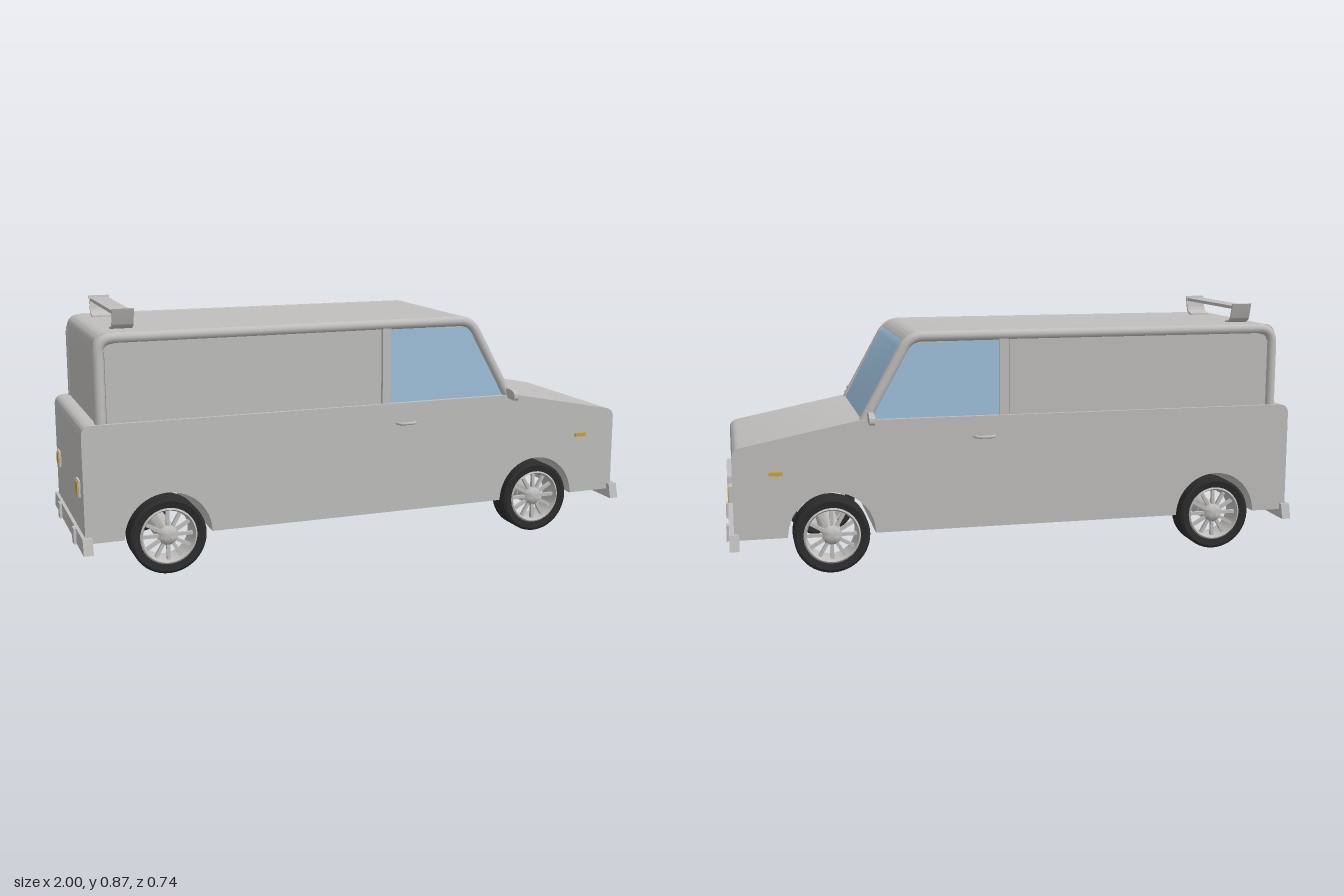
import * as THREE from 'three';
import { toCreasedNormals } from 'three/addons/utils/BufferGeometryUtils.js';

const material = (name, color, side = THREE.FrontSide) => {
  const m = new THREE.MeshStandardMaterial({ color, side });
  m.name = name;
  return m;
};

export function createModel() {
  const paint = material('greyPaint', 0xc0bfbd);
  const glass = material('blueGlass', 0x9fc2de);
  const rubber = material('blackRubber', 0x2c2c2c);
  const amber = material('amberLamp', 0xcba53a);

  const van = new THREE.Group();
  van.name = 'van';

  const add = (name, geometry, mat, x = 0, y = 0, z = 0, parent = van) => {
    const mesh = new THREE.Mesh(geometry, mat);
    mesh.name = name;
    mesh.position.set(x, y, z);
    parent.add(mesh);
    return mesh;
  };
  const box = (name, mat, size, pos, parent) => add(name, new THREE.BoxGeometry(...size), mat, ...pos, parent);
  // Extrudes a side-view shape, centred on z = 0
  const slab = (shape, width) => {
    const g = new THREE.ExtrudeGeometry(shape, { depth: width, bevelEnabled: false, curveSegments: 12 });
    g.translate(0, 0, -width / 2);
    return toCreasedNormals(g, 0.45);
  };
  const polygon = pts => new THREE.Shape(pts.map(p => new THREE.Vector2(...p)));

  const WHEELS = [-0.708, 0.655];
  const AXLE_Y = 0.127;

  // Lower body with wheel arches cut right across
  const lower = new THREE.Shape();
  lower.moveTo(-0.98, 0.13);
  for (const x of WHEELS) {
    lower.lineTo(x - 0.146, 0.13);
    lower.absarc(x, 0.13, 0.146, Math.PI, 0, true);
  }
  lower.lineTo(0.975, 0.13);
  lower.lineTo(0.975, 0.405);
  lower.quadraticCurveTo(0.975, 0.432, 0.945, 0.439);
  lower.lineTo(0.56, 0.515);
  lower.lineTo(-0.945, 0.515);
  lower.quadraticCurveTo(-0.98, 0.515, -0.98, 0.48);
  lower.closePath();
  add('lowerBody', slab(lower, 0.59), paint);

  // Cabin core: roof, rear wall and windscreen slope
  const cabin = new THREE.Shape();
  cabin.moveTo(-0.928, 0.51);
  cabin.lineTo(-0.928, 0.755);
  cabin.quadraticCurveTo(-0.928, 0.803, -0.88, 0.803);
  cabin.lineTo(0.345, 0.803);
  cabin.quadraticCurveTo(0.392, 0.803, 0.417, 0.752);
  cabin.lineTo(0.545, 0.51);
  cabin.closePath();
  add('cabin', slab(cabin, 0.545), paint);

  // Windscreen following the bend at the roof edge
  const screen = polygon([[0.382, 0.781], [0.401, 0.77], [0.419, 0.75], [0.546, 0.512],
    [0.538, 0.512], [0.411, 0.75], [0.393, 0.768], [0.376, 0.776]].reverse());
  const screenMesh = add('windscreen', slab(screen, 0.51), glass);
  screenMesh.position.set(0.003, 0.003, 0);

  // Cabin frame path, used once on each side
  const frame = new THREE.CurvePath();
  const v = (x, y) => new THREE.Vector3(x, y, 0);
  frame.add(new THREE.LineCurve3(v(-0.915, 0.505), v(-0.915, 0.735)));
  frame.add(new THREE.QuadraticBezierCurve3(v(-0.915, 0.735), v(-0.915, 0.787), v(-0.863, 0.787)));
  frame.add(new THREE.LineCurve3(v(-0.863, 0.787), v(0.34, 0.787)));
  frame.add(new THREE.QuadraticBezierCurve3(v(0.34, 0.787), v(0.386, 0.787), v(0.408, 0.745)));
  frame.add(new THREE.LineCurve3(v(0.408, 0.745), v(0.542, 0.505)));
  const frameGeometry = new THREE.TubeGeometry(frame, 160, 0.018, 14, false);

  const panel = slab(polygon([[-0.895, 0.51], [0.045, 0.51], [0.045, 0.772], [-0.86, 0.772], [-0.895, 0.745]]), 0.012);
  const sideGlass = slab(polygon([[0.08, 0.513], [0.526, 0.513], [0.402, 0.735], [0.378, 0.765], [0.08, 0.772]]), 0.008);

  // Mirror head, drawn in the z-y plane and turned to face along x
  const head = new THREE.Shape();
  head.moveTo(0.323, 0.512);
  head.lineTo(0.362, 0.508);
  head.quadraticCurveTo(0.374, 0.51, 0.37, 0.53);
  head.quadraticCurveTo(0.362, 0.548, 0.312, 0.544);
  head.quadraticCurveTo(0.306, 0.53, 0.323, 0.512);
  const headGeometry = slab(head, 0.018).rotateY(-Math.PI / 2);

  const handle = new THREE.TubeGeometry(new THREE.CatmullRomCurve3([
    new THREE.Vector3(-0.036, 0, -0.004), new THREE.Vector3(-0.025, 0, 0.016),
    new THREE.Vector3(0.025, 0, 0.016), new THREE.Vector3(0.036, 0, -0.004)]), 20, 0.005, 8);

  for (const s of [1, -1]) {
    add('cabinFrame', frameGeometry, paint, 0, 0, s * 0.2725);
    add('sidePanel', panel, paint, 0, 0, s * 0.277);
    add('sideWindow', sideGlass, glass, 0, 0, s * 0.274);
    box('doorPillar', paint, [0.03, 0.265, 0.02], [0.065, 0.642, s * 0.276]);
    box('sideIndicator', amber, [0.045, 0.013, 0.009], [0.835, 0.348, s * 0.2975]);
    const grip = add('doorHandle', handle, paint, 0.135, 0.445, s * 0.295);
    if (s < 0) grip.rotation.y = Math.PI;
    const mirror = new THREE.Group();
    mirror.name = 'wingMirror';
    van.add(mirror);
    add('mirrorHead', headGeometry, paint, 0, 0, 0, mirror);
    box('mirrorArm', paint, [0.016, 0.016, 0.055], [0.012, 0.518, 0.307], mirror);
    mirror.position.x = 0.524;
    if (s < 0) {
      mirror.rotation.y = Math.PI;
    }
  }

  // Wheels: tyre and rim turned around the axle, plus spokes and hub
  const turned = pts => toCreasedNormals(new THREE.LatheGeometry(pts.map(p => new THREE.Vector2(...p)), 48)
    .rotateX(Math.PI / 2), 0.6);
  const tyre = turned([[0.094, -0.042], [0.118, -0.047], [0.127, -0.042], [0.127, 0.042], [0.118, 0.047],
    [0.094, 0.042], [0.094, -0.042]]);
  const rim = turned([[0.083, 0.03], [0.083, -0.04], [0.096, -0.042], [0.096, 0.042], [0.09, 0.046], [0.083, 0.03]]);
  const hub = turned([[0.034, -0.02], [0.034, 0.03], [0.026, 0.038], [0.014, 0.043], [0, 0.044]]);
  const spoke = new THREE.BoxGeometry(0.062, 0.011, 0.012).translate(0.058, 0, 0.026);

  for (const x of WHEELS) {
    const axle = add('axle', new THREE.CylinderGeometry(0.035, 0.035, 0.45, 24), paint, x, AXLE_Y, 0);
    axle.rotation.x = Math.PI / 2;
    for (const s of [1, -1]) {
      const wheel = new THREE.Group();
      wheel.name = 'wheel';
      wheel.position.set(x, AXLE_Y, s * 0.248);
      if (s < 0) wheel.rotation.y = Math.PI;
      van.add(wheel);
      add('tyre', tyre, rubber, 0, 0, 0, wheel);
      add('rim', rim, paint, 0, 0, 0, wheel);
      add('hub', hub, paint, 0, 0, 0, wheel);
      for (let i = 0; i < 12; i++) add('spoke', spoke, paint, 0, 0, 0, wheel).rotation.z = i * Math.PI / 6;
    }
  }

  // Bumpers, lamps and overriders at both ends
  const bumperShape = polygon([[-0.325, 0.1], [0.325, 0.1], [0.322, 0.112], [0.311, 0.152], [-0.311, 0.152], [-0.322, 0.112]]);
  const bumper = slab(bumperShape, 0.032).rotateY(Math.PI / 2);
  for (const e of [1, -1]) {
    add('bumper', bumper, paint, e * 0.975, 0, 0);
    const lampY = e > 0 ? 0.273 : 0.3;
    for (const s of [1, -1]) {
      box('overrider', paint, [0.03, 0.054, 0.036], [e * 0.985, 0.125, s * 0.162]);
      box('lampSurround', paint, [0.014, 0.055, 0.055], [e * 0.98, lampY, s * 0.214]);
      box('lamp', amber, [0.006, 0.042, 0.042], [e * 0.987, lampY, s * 0.214]);
    }
  }

  // Grille: rounded surround with vertical slats
  const rounded = (target, w, h, r) => {
    target.moveTo(-w + r, -h);
    target.lineTo(w - r, -h);
    target.quadraticCurveTo(w, -h, w, -h + r);
    target.lineTo(w, h - r);
    target.quadraticCurveTo(w, h, w - r, h);
    target.lineTo(-w + r, h);
    target.quadraticCurveTo(-w, h, -w, h - r);
    target.lineTo(-w, -h + r);
    target.quadraticCurveTo(-w, -h, -w + r, -h);
    return target;
  };
  const surround = rounded(new THREE.Shape(), 0.133, 0.05, 0.013);
  surround.holes.push(rounded(new THREE.Path(), 0.121, 0.038, 0.006));
  add('grilleSurround', slab(surround, 0.022).rotateY(Math.PI / 2), paint, 0.98, 0.27, 0);
  for (let i = 0; i < 15; i++) box('grilleSlat', paint, [0.014, 0.078, 0.008], [0.979, 0.27, (i - 7) * 0.0162]);

  // Roof spoiler: raised blade held by two curved end brackets
  const bracket = new THREE.Shape();
  bracket.moveTo(0.16, 0.802);
  bracket.quadraticCurveTo(0.208, 0.802, 0.213, 0.83);
  bracket.lineTo(0.226, 0.872);
  bracket.lineTo(0.219, 0.872);
  bracket.lineTo(0.206, 0.832);
  bracket.quadraticCurveTo(0.2, 0.809, 0.16, 0.807);
  bracket.closePath();
  const bracketGeometry = slab(bracket, 0.07).rotateY(-Math.PI / 2);
  for (const s of [1, -1]) {
    const m = add('spoilerBracket', bracketGeometry, paint, -0.82, 0, 0);
    if (s < 0) m.rotation.y = Math.PI;
  }
  box('spoilerBlade', paint, [0.064, 0.011, 0.432], [-0.82, 0.859, 0]);

  return van;
}
